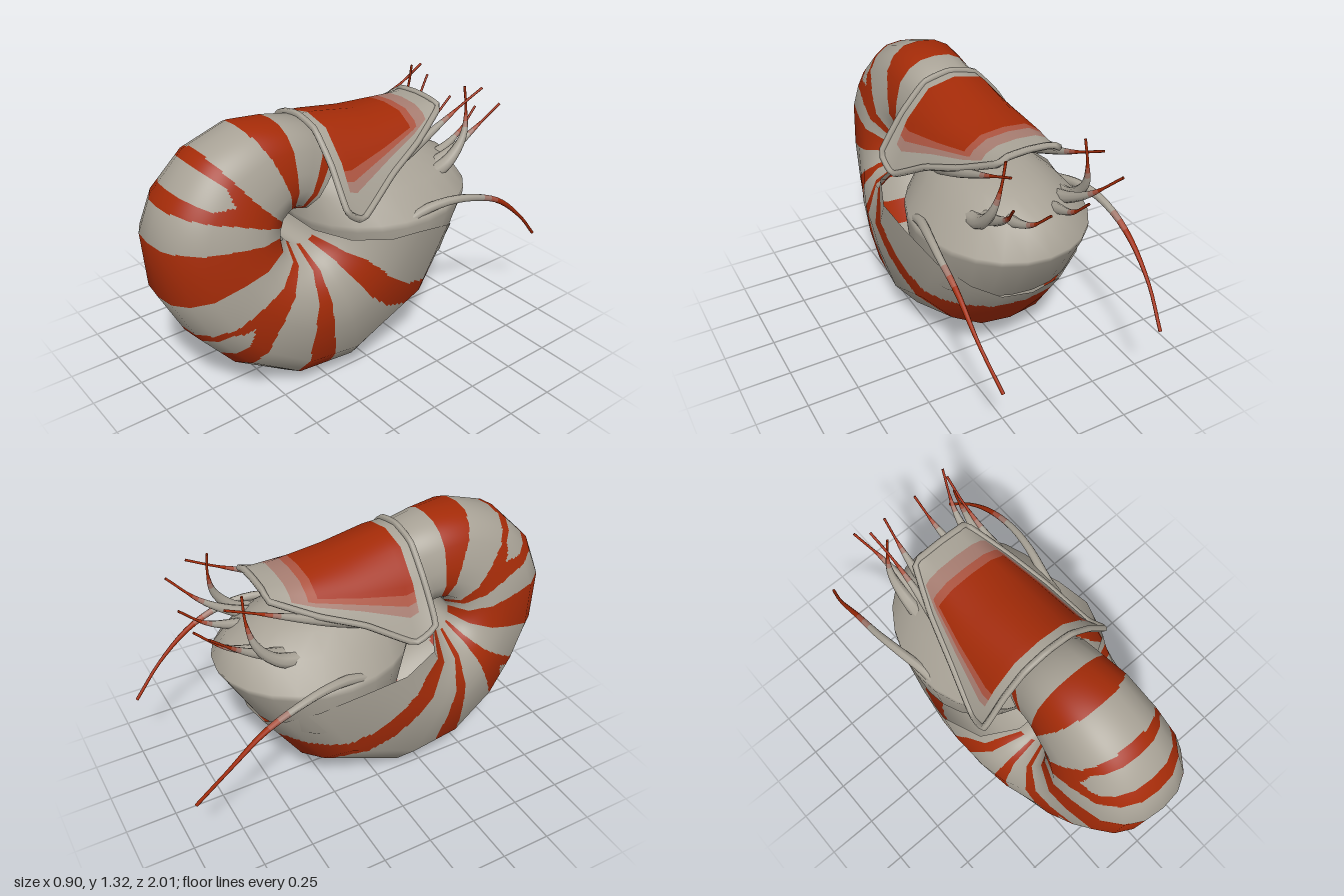
import * as THREE from 'three';

const mat = (name, color) => {
  const m = new THREE.MeshStandardMaterial({ color, side: THREE.DoubleSide });
  m.name = name;
  return m;
};
const GREY = 0, RED = 1, ROSE = 2, PINK = 3;
const V = (x, y, z) => new THREE.Vector3(x, y, z);
const lerp = THREE.MathUtils.lerp;

// Value of a number list at a fractional index
function at(list, f) {
  const i = Math.min(Math.floor(f), list.length - 2);
  return lerp(list[i], list[i + 1], f - i);
}

// Smooth normals of a coarse grid of points
function gridNormals(rows, closed) {
  const n = rows[0].length, last = rows.length - 1;
  return rows.map((row, i) => row.map((p, j) => {
    const j0 = j > 0 ? j - 1 : closed ? n - 2 : 0;
    const j1 = j < n - 1 ? j + 1 : closed ? 1 : n - 1;
    const across = row[j1].clone().sub(row[j0]);
    const along = rows[Math.min(i + 1, last)][j].clone().sub(rows[Math.max(i - 1, 0)][j]);
    return across.cross(along).normalize();
  }));
}

// Skin over rows of points, finely divided so that each cell takes a flat colour
function skin(name, rows, mats, { closed = false, subI = 1, subJ = 1, colour = () => GREY }) {
  const normals = gridNormals(rows, closed);
  const ni = (rows.length - 1) * subI, nj = (rows[0].length - 1) * subJ;
  const pos = [], nor = [], buckets = mats.map(() => []);
  const sample = (g, fi, fj) => {
    const i = Math.min(Math.floor(fi), rows.length - 2);
    const j = Math.min(Math.floor(fj), rows[0].length - 2);
    const a = g[i][j].clone().lerp(g[i][j + 1], fj - j);
    const b = g[i + 1][j].clone().lerp(g[i + 1][j + 1], fj - j);
    return a.lerp(b, fi - i);
  };
  for (let i = 0; i <= ni; i++) for (let j = 0; j <= nj; j++) {
    pos.push(...sample(rows, i / subI, j / subJ).toArray());
    nor.push(...sample(normals, i / subI, j / subJ).normalize().toArray());
  }
  for (let i = 0; i < ni; i++) for (let j = 0; j < nj; j++) {
    const fi = (i + 0.5) / subI, fj = (j + 0.5) / subJ;
    const a = i * (nj + 1) + j, b = a + 1, c = a + nj + 1, d = c + 1;
    buckets[colour(sample(rows, fi, fj), fi, fj)].push(a, b, c, b, d, c);
  }
  const geo = new THREE.BufferGeometry();
  geo.setAttribute('position', new THREE.Float32BufferAttribute(pos, 3));
  geo.setAttribute('normal', new THREE.Float32BufferAttribute(nor, 3));
  geo.setIndex(buckets.flat());
  let start = 0;
  buckets.forEach((b, k) => {
    if (b.length) geo.addGroup(start, b.length, k);
    start += b.length;
  });
  const mesh = new THREE.Mesh(geo, mats);
  mesh.name = name;
  return mesh;
}

// Coiled shell: sections fanned around the open navel
function makeShell(mats) {
  const cz = 0.37, cy = 0.84, hole = 0.07;
  // angle from up towards the front, outer radius, half width
  const stations = [
    [-45, 0.42, 0.2], [-18, 0.465, 0.21], [0, 0.47, 0.22], [19, 0.514, 0.235], [44, 0.566, 0.25],
    [67, 0.609, 0.275], [84, 0.633, 0.29], [109, 0.645, 0.305], [131, 0.66, 0.33], [153, 0.716, 0.365],
    [177, 0.815, 0.4], [199, 0.883, 0.425], [231.7, 0.968, 0.445], [261, 1.0, 0.45]];
  const T = [0, 0.1, 0.3, 0.5, 0.75, 0.9, 0.98, 1];
  const H = [0.5, 0.85, 1, 0.96, 0.85, 0.62, 0.34, 0];
  const rows = stations.map(([deg, R, w], i) => {
    const half = T.map((t, k) => {
      const lip = i === stations.length - 1 ? 9.6 * t ** 5 : 0;
      const a = THREE.MathUtils.degToRad(deg - lip), r = lerp(hole, R, t);
      return V(H[k] * w, cy + r * Math.cos(a), cz + r * Math.sin(a));
    });
    const other = half.slice(0, -1).reverse().map(p => V(-p.x, p.y, p.z));
    return [...half, ...other, half[0].clone()];
  });
  const far = T.length - 1;
  const stripes = (p, fi, fj) => {
    let a = THREE.MathUtils.radToDeg(Math.atan2(p.z - cz, p.y - cy));
    if (a < -60) a += 360;
    const t = at(T, far - Math.abs(fj - far)), q = 1 - t;
    const within = (lo, hi) => a > lo && a < hi;
    const fork = Math.min(1, Math.max(0, (t - 0.66) * 7));
    if (within(-38, -28) || within(0, 20 - 8 * q) || within(84 - 4 * q, 109)) return RED;
    if (within(41.5 + 9 * q, 69 - 8 * q)) return Math.abs(a - 55) < 7 * fork ? GREY : RED;
    if (within(128 + 9 * q, 155 - 8 * q)) return Math.abs(a - 138.5) < 6 * fork ? GREY : RED;
    if (within(177 - 4 * q, 190 - 5 * q)) return RED;
    const sweep = [[217, 240], [216, 239], [216, 233], [219, 233], [226, 238], [231, 246]];
    const lo = at(sweep.map(s => s[0]), t * 5), hi = at(sweep.map(s => s[1]), t * 5);
    return within(lo, hi) ? RED : GREY;
  };
  return skin('shell', rows, mats, { closed: true, subI: 24, subJ: 8, colour: stripes });
}

// Soft body filling the shell mouth: stacked ovals with a crisp collar edge
function makeBody(mats) {
  // height, centre z, half width, half depth
  const levels = [
    [0.4, -0.2, 0.02, 0.02], [0.45, -0.2, 0.33, 0.26], [0.53, -0.2, 0.385, 0.37], [0.77, -0.23, 0.41, 0.47],
    [0.8, -0.23, 0.405, 0.48], [0.92, -0.2, 0.3, 0.44], [0.99, -0.13, 0.22, 0.36],
    [1.04, -0.08, 0.15, 0.26], [1.06, -0.05, 0.005, 0.005]];
  const rows = levels.map(([y, cz, hx, hz]) => Array.from({ length: 25 }, (_, j) => {
    const a = j / 24 * Math.PI * 2;
    return V(hx * Math.cos(a), y, cz - hz * Math.sin(a));
  }));
  return skin('body', rows, mats, { closed: true });
}

// Roof-like hood with a faded red patch, a plain lining and a rounded rim
function makeHood(mats) {
  const half = [
    [0.22, [0, 1.29], [0.13, 1.26], [0.25, 1.13], [0.365, 0.95]],
    [0.12, [0, 1.28], [0.14, 1.25], [0.25, 1.12], [0.355, 0.88]],
    [-0.1, [0, 1.24], [0.13, 1.22], [0.22, 1.14], [0.29, 1.01]],
    [-0.3, [0, 1.225], [0.11, 1.215], [0.18, 1.17], [0.23, 1.09]],
    [-0.5, [0, 1.22], [0.08, 1.215], [0.12, 1.21], [0.15, 1.19]]];
  const rows = half.map(([z, ...pts]) => [
    ...pts.slice(1).reverse().map(([x, y]) => V(-x, y, z)),
    ...pts.map(([x, y]) => V(x, y, z))]);
  const patch = (p, fi, fj) => {
    const u = Math.abs(fj - 3) / 3;
    if (p.z > 0.165) return GREY;
    if (u < 0.72 && p.z > -0.28) return RED;
    if (u < 0.78 && p.z > -0.335) return ROSE;
    return u < 0.85 && p.z > -0.4 ? PINK : GREY;
  };
  const hood = new THREE.Group();
  hood.name = 'hood';
  hood.add(skin('hoodRoof', rows, mats, { subI: 14, subJ: 20, colour: patch }));
  // lining runs the other way across so that it faces down
  const lining = rows.map(r => r.map(p => V(p.x * 0.96, p.y - 0.02, p.z)).reverse());
  hood.add(skin('hoodLining', lining, mats, {}));
  const edge = [
    ...rows[0], ...rows.slice(1, -1).map(r => r[6]),
    ...rows[4].slice().reverse(), ...rows.slice(1, -1).reverse().map(r => r[0])];
  const path = new THREE.CatmullRomCurve3(edge, true, 'catmullrom', 0.2);
  const rim = new THREE.Mesh(new THREE.TubeGeometry(path, 80, 0.016, 6, true), mats[GREY]);
  rim.name = 'hoodRim';
  hood.add(rim);
  return hood;
}

// Tapered tentacle that fades to a red tip
function makeTentacle(name, pts, side, r0, r1, redFrom, mats) {
  const curve = new THREE.CatmullRomCurve3(pts.map(([x, y, z]) => V(x * side, y, z)));
  const n = 20, sides = 8, frames = curve.computeFrenetFrames(n, false);
  const rows = Array.from({ length: n + 1 }, (_, i) => {
    const c = curve.getPointAt(i / n), r = lerp(r0, r1, Math.min(1, i / n * 1.25));
    return Array.from({ length: sides + 1 }, (_, j) => {
      const a = j / sides * Math.PI * 2;
      return c.clone().addScaledVector(frames.normals[i], r * Math.cos(a))
        .addScaledVector(frames.binormals[i], r * Math.sin(a));
    });
  });
  const fade = (p, fi) => {
    const t = fi / n - redFrom;
    return t > 0 ? RED : t > -0.05 ? ROSE : t > -0.1 ? PINK : GREY;
  };
  return skin(name, rows, mats, { closed: true, colour: fade });
}

export function createModel() {
  const mats = [mat('shell grey', 0xa8a296), mat('stripe red', 0xa42b08),
    mat('faded red', 0xac5440), mat('pale pink', 0xa67c70)];
  const model = new THREE.Group();
  model.name = 'nautilus';
  model.add(makeShell(mats), makeBody(mats), makeHood(mats));

  // Tentacles, mirrored left and right
  const short = [
    [[0.2, 0.96, 0], [0.22, 1.05, -0.25], [0.21, 1.13, -0.45], [0.21, 1.2, -0.6], [0.22, 1.26, -0.72]],
    [[0.22, 0.88, -0.34], [0.23, 0.93, -0.5], [0.23, 1.04, -0.6], [0.21, 1.16, -0.63], [0.19, 1.28, -0.63]],
    [[0.17, 0.87, -0.32], [0.19, 0.95, -0.54], [0.21, 1.04, -0.68], [0.26, 1.17, -0.81]],
    [[0.1, 0.88, -0.34], [0.11, 0.93, -0.56], [0.1, 0.99, -0.7], [0.09, 1.1, -0.82]]];
  const long = [[0.36, 0.77, -0.1], [0.38, 0.82, -0.22], [0.41, 0.84, -0.36], [0.43, 0.82, -0.5],
    [0.435, 0.75, -0.67], [0.43, 0.6, -0.85], [0.4, 0.44, -1]];
  for (const [side, label] of [[1, 'left'], [-1, 'right']]) {
    short.forEach((pts, k) =>
      model.add(makeTentacle(`${label}Tentacle${k + 1}`, pts, side, 0.048, 0.006, 0.75, mats)));
    model.add(makeTentacle(`${label}LongTentacle`, long, side, 0.027, 0.008, 0.55, mats));
  }
  return model;
}
